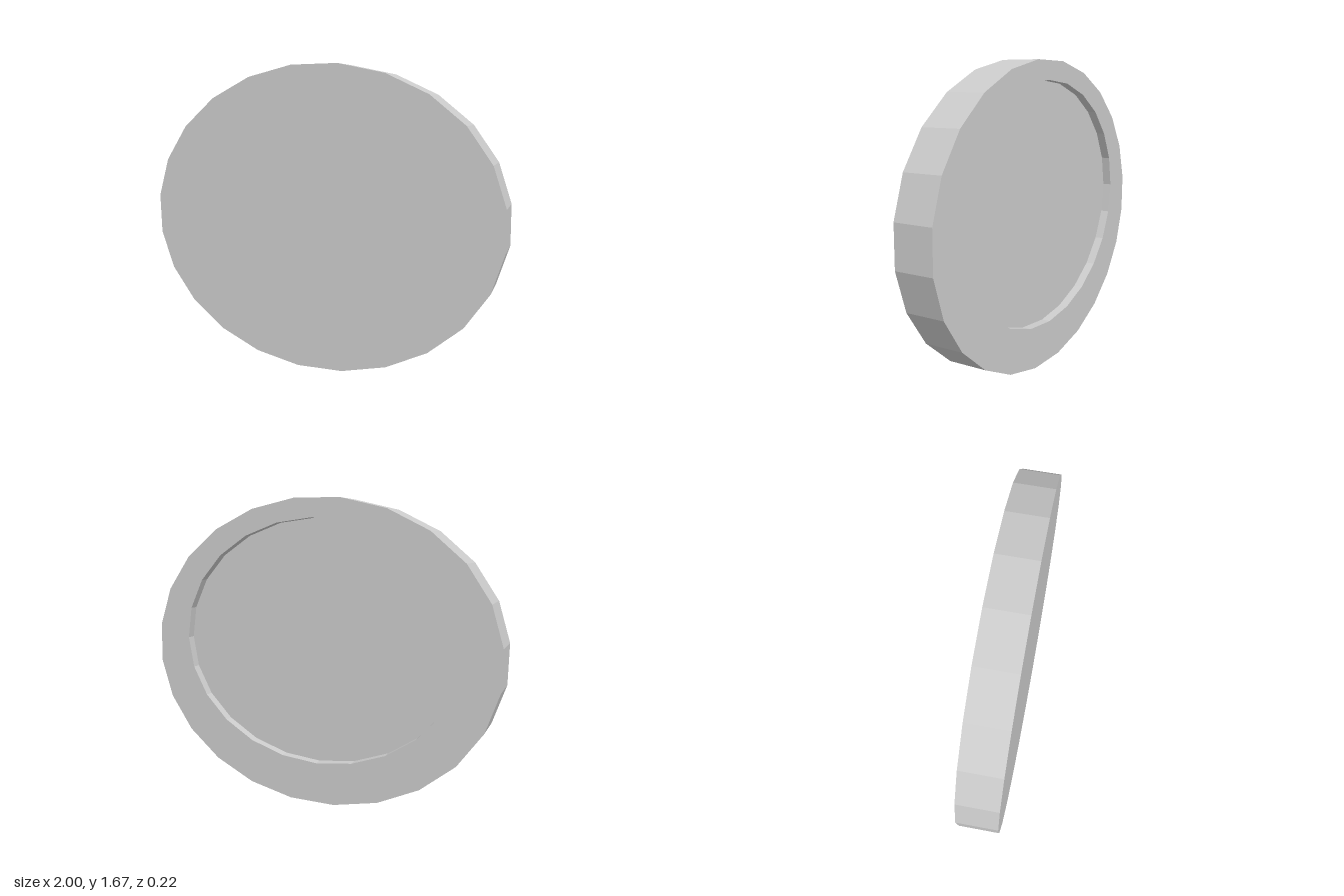
import * as THREE from 'three';

const SIDES = 24;

// one 24-sided elliptical ring of points, counter-clockwise seen from the front
function ring(rx, ry, cy, z, phaseDeg) {
  return Array.from({ length: SIDES }, (_, i) => {
    const t = THREE.MathUtils.degToRad(phaseDeg) + (i / SIDES) * Math.PI * 2;
    return new THREE.Vector3(rx * Math.cos(t), cy + ry * Math.sin(t), z);
  });
}

// faceted skin joining each ring to the next; a ring of zero size closes as a fan
function skin(rings) {
  const pos = [];
  const tri = (a, b, c) => {
    if (a.equals(b) || b.equals(c) || a.equals(c)) return;
    for (const p of [a, b, c]) pos.push(p.x, p.y, p.z);
  };
  for (let r = 0; r < rings.length - 1; r++) {
    const A = rings[r], B = rings[r + 1];
    for (let i = 0; i < SIDES; i++) {
      const n = (i + 1) % SIDES;
      tri(A[i], B[i], B[n]);
      tri(A[i], B[n], A[n]);
    }
  }
  const geo = new THREE.BufferGeometry();
  geo.setAttribute('position', new THREE.Float32BufferAttribute(pos, 3));
  geo.computeVertexNormals();
  return geo;
}

export function createModel() {
  const group = new THREE.Group();
  group.name = 'ovalDisc';
  const material = new THREE.MeshStandardMaterial({ color: 0xcccccc, flatShading: true });
  const add = (name, rings) => {
    const mesh = new THREE.Mesh(skin(rings), material);
    mesh.name = name;
    group.add(mesh);
  };

  const half = 0.108, floorZ = -0.058; // half thickness, recess floor
  const outer = (z) => ring(1.0067, 0.843, 0.8375, z, 8.4);
  const inner = (z) => ring(0.806, 0.672, 0.9, z, -0.8); // recess sits slightly high
  const frontRim = outer(half), backRim = outer(-half);
  // pair each recess corner with the nearest outer corner
  const backLip = inner(-half), recessFloor = inner(floorZ);

  // flat front, faceted edge and the border around the recess
  add('discBody', [ring(0, 0, 0.8375, half, 0), frontRim, backRim, backLip]);
  // shallow oval recess in the back
  add('backRecess', [backLip, recessFloor, ring(0, 0, 0.9, floorZ, 0)]);
  return group;
}
